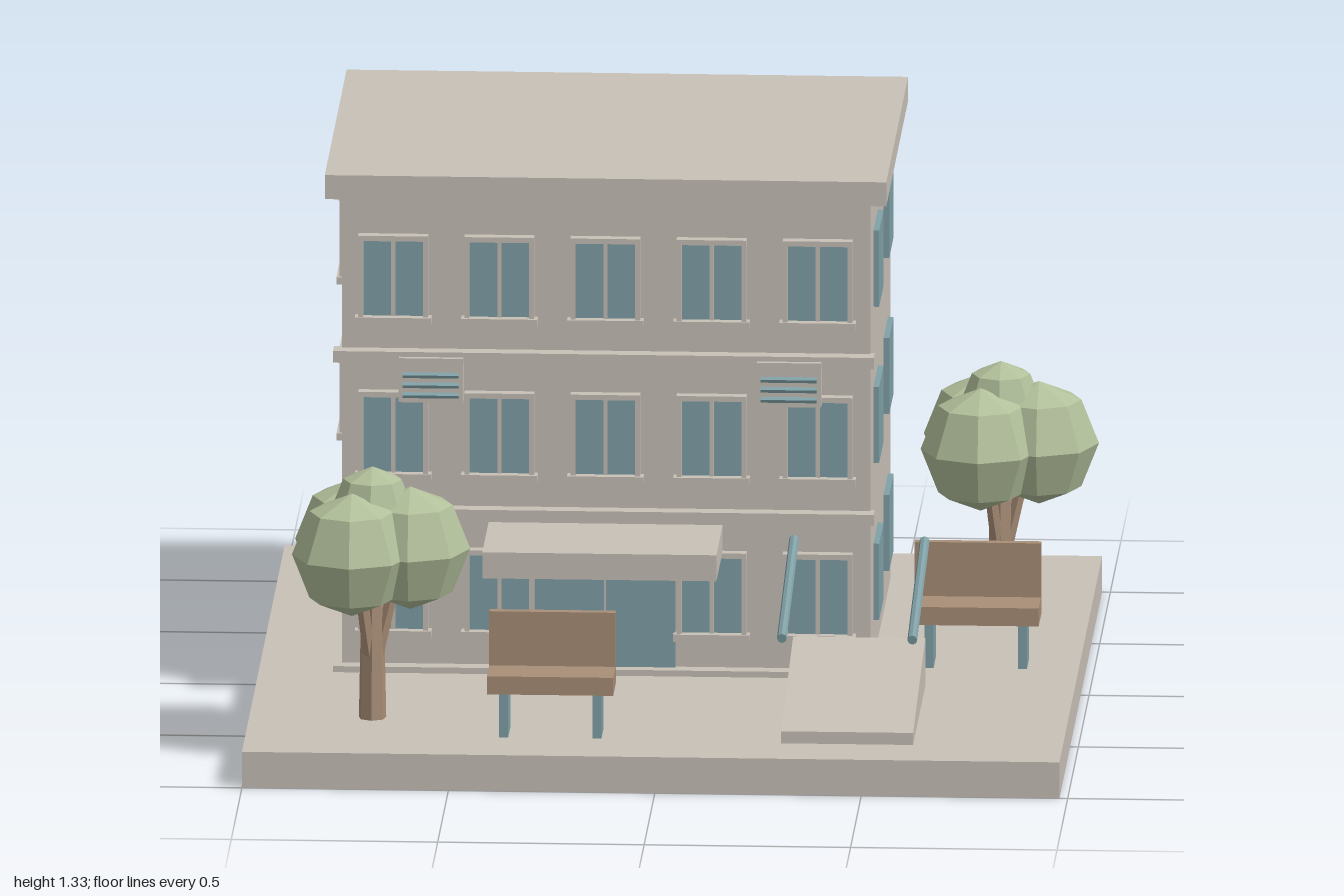
import * as THREE from 'three';

const material = (name, color) => Object.assign(new THREE.MeshStandardMaterial({ color }), { name });

export function createModel() {
  const model = new THREE.Group();
  model.name = 'buildingWithYard';
  const stone = material('warm stone', 0xc8c0b7);
  const teal = material('muted teal', 0x80a1a7);
  const wood = material('wood brown', 0xa88e77);
  const leaf = material('leaf green', 0xb1bf9a);

  const add = (parent, name, geometry, mat) => {
    const mesh = new THREE.Mesh(geometry, mat);
    mesh.name = name;
    parent.add(mesh);
    return mesh;
  };
  // Box given by its minimum and maximum on each axis
  const box = (parent, name, mat, x0, x1, y0, y1, z0, z1) => {
    const mesh = add(parent, name, new THREE.BoxGeometry(x1 - x0, y1 - y0, z1 - z0), mat);
    mesh.position.set((x0 + x1) / 2, (y0 + y1) / 2, (z0 + z1) / 2);
    return mesh;
  };
  const faceted = (geometry) => {
    const flat = geometry.toNonIndexed();
    flat.computeVertexNormals();
    return flat;
  };
  // Straight faceted bar between two points
  const bar = (parent, name, mat, a, b, r0, r1, sides) => {
    const from = new THREE.Vector3(...a), to = new THREE.Vector3(...b);
    const dir = to.clone().sub(from);
    const mesh = add(parent, name, faceted(new THREE.CylinderGeometry(r1, r0, dir.length(), sides)), mat);
    mesh.position.copy(from).add(to).multiplyScalar(0.5);
    mesh.quaternion.setFromUnitVectors(new THREE.Vector3(0, 1, 0), dir.normalize());
  };
  const group = (name, x, y, z, turn = 0) => {
    const g = new THREE.Group();
    g.name = name;
    g.position.set(x, y, z);
    g.rotation.y = turn;
    model.add(g);
    return g;
  };

  // Ground slab, walls and roof
  box(model, 'groundSlab', stone, -1, 0.98, 0, 0.09, -1, 1);
  box(model, 'walls', stone, -0.8, 0.48, 0.09, 1.27, -0.77, 0.18);
  box(model, 'roofSlab', stone, -0.84, 0.52, 1.27, 1.33, -0.81, 0.213);

  // Plinth and floor bands on the front
  for (const [y0, y1] of [[0.09, 0.105], [0.473, 0.5], [0.863, 0.892]]) {
    box(model, 'floorBand', stone, -0.82, 0.49, y0, y1, 0.17, 0.218);
  }

  // Framed two-pane window, facing its local +z
  const addWindow = (x, y, z, turn, w) => {
    const g = group('window', x, y, z, turn);
    const h = w / 2, t = 0.012;
    box(g, 'glass', teal, -h, h, -0.095, 0.095, 0, 0.008);
    for (const s of [-1, 1]) {
      const c = s * (h + t / 2);
      box(g, 'frameSide', stone, c - t / 2, c + t / 2, -0.095, 0.095, 0, 0.025);
    }
    box(g, 'frameTop', stone, -h - t, h + t, 0.095, 0.108, 0, 0.027);
    box(g, 'mullion', stone, -0.005, 0.005, -0.095, 0.095, 0, 0.014);
    box(g, 'sill', stone, -h - 0.02, h + 0.02, -0.113, -0.095, 0, 0.032);
  };

  [0.288, 0.68, 1.07].forEach((y, floor) => {
    for (let i = 0; i < 5; i++) {
      if (floor === 0 && i === 2) continue; // entrance
      addWindow(-0.675 + i * 0.257, y, 0.18, 0, 0.145);
    }
    for (const x of [-0.585, -0.158, 0.27]) addWindow(x, y, -0.77, Math.PI, 0.2);
    addWindow(-0.8, y, -0.295, -Math.PI / 2, 0.2);
    // Plain panes on the right wall
    for (const z of [-0.06, -0.533]) {
      box(model, 'sidePane', teal, 0.485, 0.494, y - 0.095, y + 0.095, z - 0.103, z + 0.103);
      box(model, 'paneBacking', teal, 0.48, 0.485, y - 0.095, y + 0.095, z - 0.103, z + 0.103);
    }
  });

  // Entrance and canopy
  box(model, 'entranceDoor', teal, -0.333, 0.008, 0.105, 0.395, 0.18, 0.189);
  box(model, 'doorSeam', stone, -0.165, -0.16, 0.105, 0.395, 0.18, 0.191);
  box(model, 'canopy', stone, -0.445, 0.122, 0.395, 0.46, 0.18, 0.473);

  // Air conditioners with tilted louvres
  for (const x of [-0.582, 0.285]) {
    const unit = group('airConditioner', x, 0.825, 0.18);
    box(unit, 'casing', stone, -0.078, 0.078, -0.055, 0.055, 0, 0.052);
    for (const y of [-0.035, -0.01, 0.015]) {
      box(unit, 'louvre', teal, -0.068, 0.068, y - 0.004, y + 0.004, 0.046, 0.064).rotation.x = 0.35;
    }
  }

  // Entrance ramp, extruded from its side profile
  const profile = new THREE.Shape([[-0.85, 0.09], [-0.28, 0.09], [-0.28, 0.21], [-0.85, 0.12]]
    .map(([a, b]) => new THREE.Vector2(a, b)));
  const ramp = add(model, 'ramp', new THREE.ExtrudeGeometry(profile, { depth: 0.32, bevelEnabled: false }), stone);
  ramp.rotation.y = Math.PI / 2;
  ramp.position.x = 0.298;
  for (const x of [0.3, 0.616]) {
    bar(model, 'handrail', teal, [x, 0.352, 0.85], [x, 0.452, 0.275], 0.012, 0.012, 8);
  }

  // Benches
  for (const [x, z] of [[-0.262, 0.775], [0.731, 0.051]]) {
    const bench = group('bench', x, 0, z);
    box(bench, 'seat', wood, -0.153, 0.153, 0.2, 0.245, -0.064, 0.064);
    box(bench, 'backrest', wood, -0.153, 0.153, 0.245, 0.38, -0.064, -0.043);
    for (const lx of [-0.113, 0.113]) {
      box(bench, 'leg', teal, lx - 0.011, lx + 0.011, 0.09, 0.2, -0.05, 0.052);
    }
  }

  // Trees: trunk, three branches and a low-poly crown
  for (const [x, z] of [[-0.702, 0.65], [0.764, -0.448]]) {
    const tree = group('tree', x, 0, z);
    bar(tree, 'trunk', wood, [0, 0.09, 0], [0, 0.44, 0], 0.034, 0.027, 7);
    const crown = (name, px, py, pz, r, ry) => {
      const geometry = faceted(new THREE.SphereGeometry(r, 8, 4).scale(1, ry / r, 1));
      add(tree, name, geometry, leaf).position.set(px, py, pz);
    };
    for (let i = 0; i < 3; i++) {
      const a = (i * Math.PI * 2) / 3, c = Math.cos(a), s = Math.sin(a);
      bar(tree, 'branch', wood, [c * 0.012, 0.25, s * 0.012], [c * 0.06, 0.45, s * 0.06], 0.018, 0.014, 6);
      crown('foliage', c * 0.092, 0.515, s * 0.088, 0.145, 0.153);
    }
    crown('topFoliage', 0, 0.61, 0, 0.1, 0.107);
  }
  return model;
}
